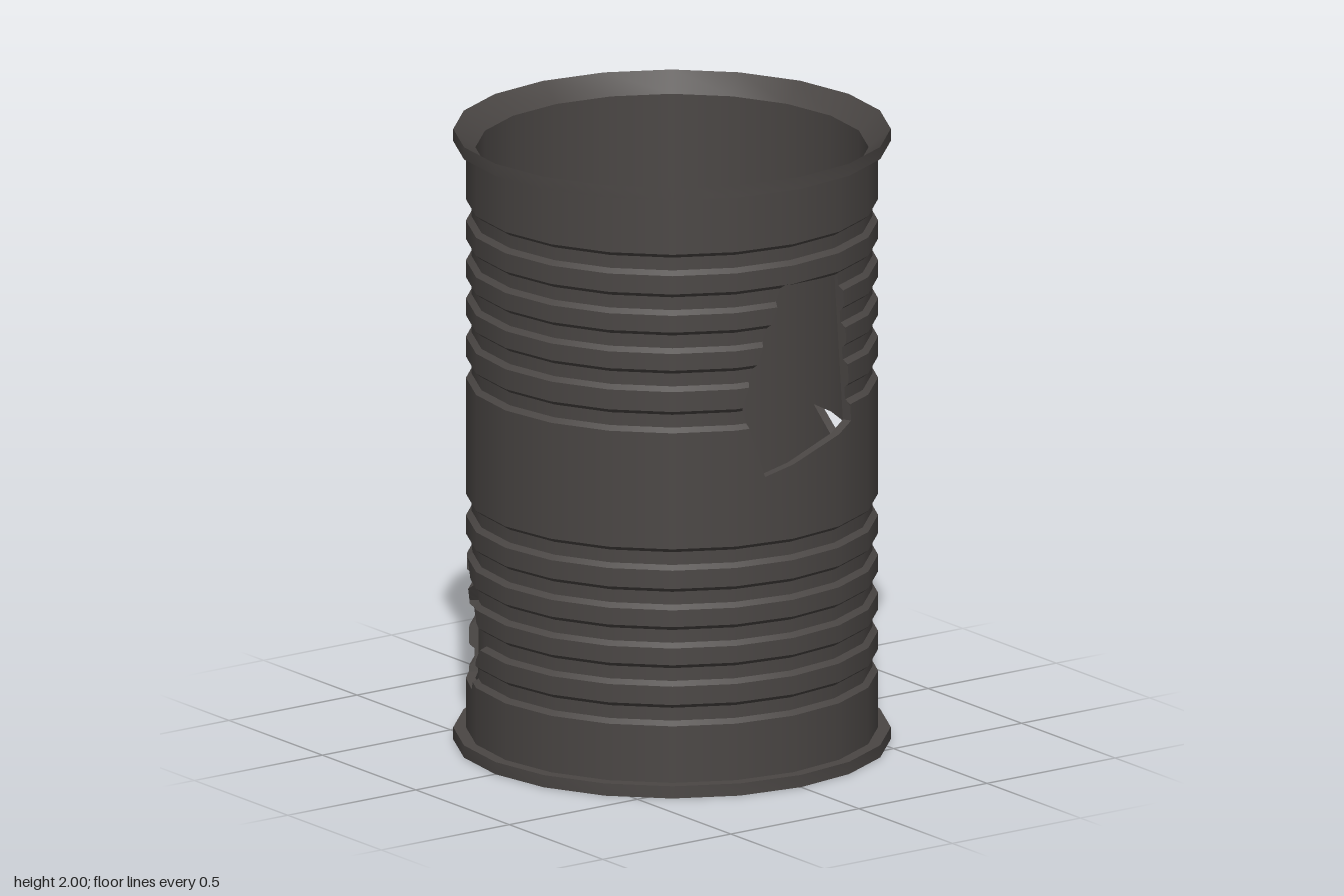
import * as THREE from 'three';
import { toCreasedNormals } from 'three/addons/utils/BufferGeometryUtils.js';

const SIDES = 20, STEP = (Math.PI * 2) / SIDES;
const R = 0.65, GROOVE_R = 0.632, INNER_R = 0.62, RIM_R = 0.69;
const GROOVES = [0.26, 0.39, 0.515, 0.64, 0.77, 1.22, 1.355, 1.48, 1.605, 1.735];

// Torn holes as [degrees around from the front, height]
const HOLES = [
  [[-2.6, 1.64], [-16, 1.26], [-8.9, 1.02], [25.5, 1.13], [20, 1.62]],
  [[73, 0.95], [71.2, 0.67], [97.1, 0.98]],
  [[-128.4, 0.51], [-132.4, 0.437], [-131.3, 0.206], [-116, 0.195], [-103.4, 0.39], [-127.8, 0.657]],
].map((hole) => hole.map(([deg, y]) => [(deg * SIDES) / 360, y]));

// Outer wall profile [radius, height] with rolled grooves
const PROFILE = [[R, 0.04]];
for (const y of GROOVES) {
  PROFILE.push([R, y - 0.035], [GROOVE_R, y - 0.021], [GROOVE_R, y + 0.021], [R, y + 0.035]);
}
PROFILE.push([R, 1.96]);

function outerRadius(y) {
  for (let i = 1; i < PROFILE.length; i++) {
    const [r0, y0] = PROFILE[i - 1], [r1, y1] = PROFILE[i];
    if (y <= y1) return r0 + ((r1 - r0) * (y - y0)) / (y1 - y0);
  }
  return R;
}

// Point on the faceted drum: s counts sides around from the front
function point(s, y, r) {
  const i = Math.floor(s), f = s - i;
  const mix = (fn) => r * (fn(i * STEP) * (1 - f) + fn((i + 1) * STEP) * f);
  return [mix(Math.sin), y, mix(Math.cos)];
}

// Keep the part of a convex polygon left (sign 1) or right (sign -1) of line a-b
function clip(poly, a, b, sign) {
  const side = (p) => sign * ((b[0] - a[0]) * (p[1] - a[1]) - (b[1] - a[1]) * (p[0] - a[0]));
  const out = [];
  poly.forEach((p, i) => {
    const q = poly[(i + 1) % poly.length], dp = side(p), dq = side(q);
    if (dp >= 0) out.push(p);
    if (dp * dq < 0) {
      const t = dp / (dp - dq);
      out.push([p[0] + (q[0] - p[0]) * t, p[1] + (q[1] - p[1]) * t]);
    }
  });
  return out;
}

function area(poly) {
  return poly.reduce((sum, p, i) => {
    const q = poly[(i + 1) % poly.length];
    return sum + (p[0] * q[1] - q[0] * p[1]) / 2;
  }, 0);
}

// Cut a triangle out of a list of convex polygons
function subtract(polys, tri) {
  return polys.flatMap((poly) => {
    const pieces = [];
    let rest = poly;
    for (let i = 0; i < 3; i++) {
      const a = tri[i], b = tri[(i + 1) % 3];
      pieces.push(clip(rest, a, b, -1));
      rest = clip(rest, a, b, 1);
    }
    if (rest.length < 3 || area(rest) < 1e-7) return [poly];
    return pieces.filter((p) => p.length > 2 && area(p) > 1e-7);
  });
}

// Wall of cells with the holes cut out; dir 1 faces out, -1 faces in
function wallGeometry(profile, dir) {
  const pos = [], nor = [];
  for (let row = 1; row < profile.length; row++) {
    const [r0, y0] = profile[row - 1], [r1, y1] = profile[row];
    for (let c = -SIDES / 2; c < SIDES / 2; c++) {
      let polys = [[[c, y0], [c + 1, y0], [c + 1, y1], [c, y1]]];
      for (const h of HOLES) {
        for (let k = 1; k < h.length - 1; k++) polys = subtract(polys, [h[0], h[k], h[k + 1]]);
      }
      for (const poly of polys) {
        for (let k = 1; k < poly.length - 1; k++) {
          const tri = [poly[0], poly[k], poly[k + 1]];
          if (dir < 0) tri.reverse();
          for (const [s, y] of tri) {
            pos.push(...point(s, y, r0 + ((r1 - r0) * (y - y0)) / (y1 - y0)));
            const n = new THREE.Vector3(Math.sin(s * STEP) * (y1 - y0), r0 - r1, Math.cos(s * STEP) * (y1 - y0));
            nor.push(...n.normalize().multiplyScalar(dir).toArray());
          }
        }
      }
    }
  }
  const geo = new THREE.BufferGeometry();
  geo.setAttribute('position', new THREE.Float32BufferAttribute(pos, 3));
  geo.setAttribute('normal', new THREE.Float32BufferAttribute(nor, 3));
  return geo;
}

// Thickness of the metal around a hole
function holeEdgeGeometry(hole) {
  const pos = [], N = 40;
  hole.forEach((a, i) => {
    const b = hole[(i + 1) % hole.length];
    const at = (t) => [a[0] + (b[0] - a[0]) * t, a[1] + (b[1] - a[1]) * t];
    for (let k = 0; k < N; k++) {
      const [s0, y0] = at(k / N), [s1, y1] = at((k + 1) / N);
      const oa = point(s0, y0, outerRadius(y0)), ob = point(s1, y1, outerRadius(y1));
      const ia = point(s0, y0, INNER_R), ib = point(s1, y1, INNER_R);
      pos.push(...oa, ...ob, ...ib, ...oa, ...ib, ...ia);
    }
  });
  const geo = new THREE.BufferGeometry();
  geo.setAttribute('position', new THREE.Float32BufferAttribute(pos, 3));
  geo.computeVertexNormals();
  return geo;
}

function lathe(points) {
  const geo = new THREE.LatheGeometry(points.map(([r, y]) => new THREE.Vector2(r, y)), SIDES);
  return toCreasedNormals(geo, 0.6);
}

export function createModel() {
  const group = new THREE.Group();
  group.name = 'rustedBarrel';
  const metal = new THREE.MeshStandardMaterial({ color: 0x4a4644 });
  const add = (name, geo) => {
    const mesh = new THREE.Mesh(geo, metal);
    mesh.name = name;
    group.add(mesh);
  };

  add('outerWall', wallGeometry(PROFILE, 1));
  add('innerWall', wallGeometry([[INNER_R, 0.03], [INNER_R, 1.94]], -1));
  HOLES.forEach((hole, i) => add('tornEdge' + (i + 1), holeEdgeGeometry(hole)));

  // Flared top lip, closed base and inside floor
  add('topRim', lathe([[R, 1.96], [RIM_R, 1.96], [RIM_R, 2], [INNER_R, 1.94]]));
  add('base', lathe([[0, 0], [RIM_R, 0], [RIM_R, 0.04], [R, 0.04]]));
  add('floor', lathe([[INNER_R, 0.03], [0, 0.03]]));
  return group;
}
